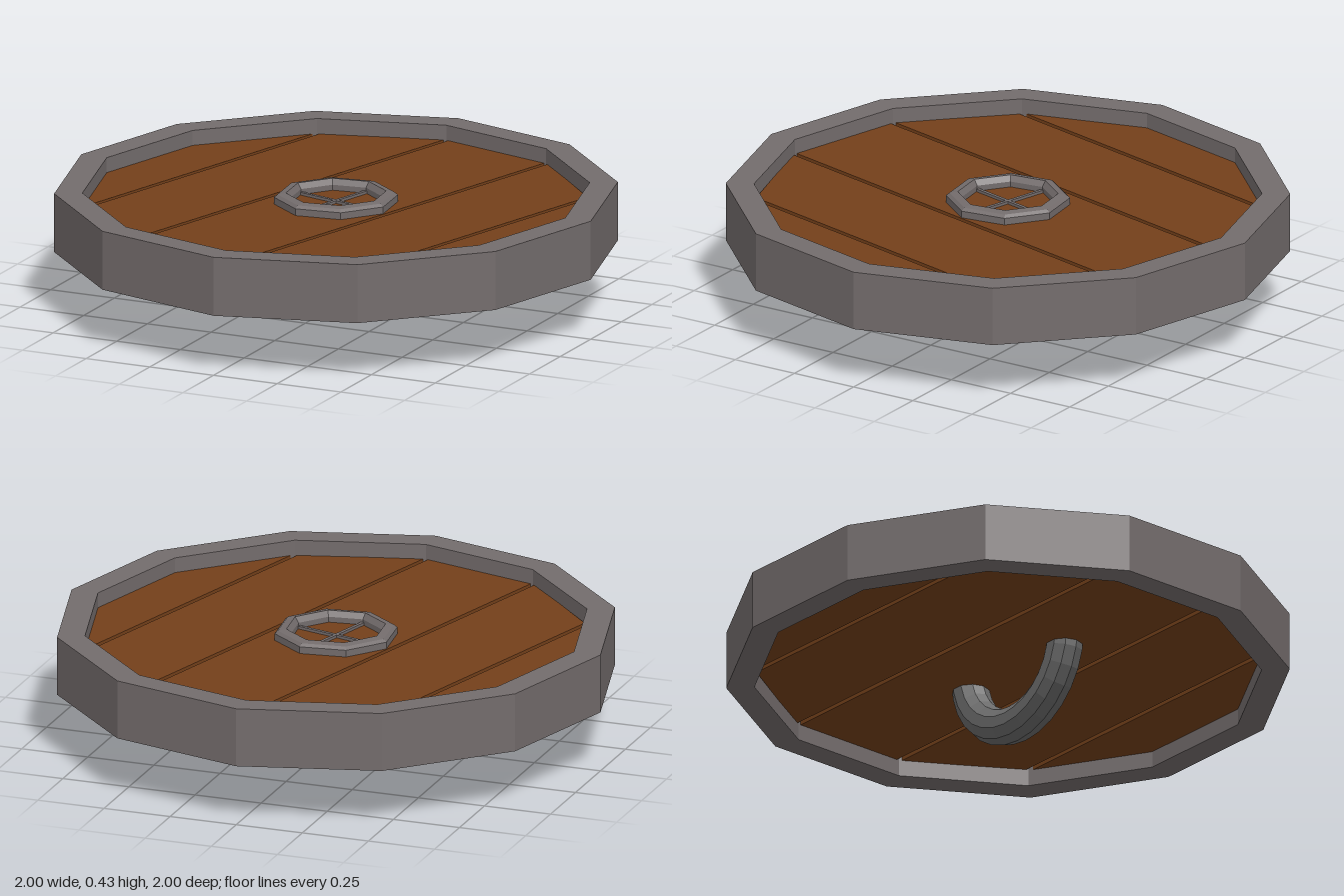
import * as THREE from 'three';

const TILT = -Math.PI / 12; // planks, boss and handle are turned 15 degrees
const BOARD_LOW = 0.28, BOARD_TOP = 0.38;

const paint = (color) => new THREE.MeshStandardMaterial({ color, flatShading: true });

function add(parent, name, geometry, material) {
  const mesh = new THREE.Mesh(geometry, material);
  mesh.name = name;
  parent.add(mesh);
  return mesh;
}

// closed [radius, y] profile turned into a faceted ring
function ring(profile, sides) {
  const points = [...profile, profile[0]].map(([r, y]) => new THREE.Vector2(r, y));
  return new THREE.LatheGeometry(points, sides);
}

// flat slab whose half length goes from z0 at x0 to z1 at x1
function slab(x0, z0, x1, z1, low, high) {
  const shape = new THREE.Shape([[x0, -z0], [x1, -z1], [x1, z1], [x0, z0]]
    .map(([x, y]) => new THREE.Vector2(x, y)));
  return new THREE.ExtrudeGeometry(shape, { depth: high - low, bevelEnabled: false })
    .rotateX(-Math.PI / 2).translate(0, low, 0);
}

export function createModel() {
  const model = new THREE.Group();
  model.name = 'roundShield';
  const iron = paint(0x736c6c);
  const wood = paint(0x74401a);
  const steel = paint(0x6a6a6a);

  // twelve-sided rim
  add(model, 'rim', ring([[1, 0.22], [1, 0.435], [0.9, 0.435], [0.9, 0.22]], 12), iron);

  const face = new THREE.Group();
  face.name = 'face';
  face.rotation.y = TILT;
  model.add(face);

  // five planks meeting the corners of the rim, with narrow grooves between
  const a = 0.233, b = 0.636, c = 0.869, gap = 0.009;
  add(face, 'centrePlank', slab(-a + gap, c, a - gap, c, BOARD_LOW, BOARD_TOP), wood);
  for (const turn of [0, Math.PI]) {
    const side = turn ? 'right' : 'left';
    add(face, side + 'MiddlePlank', slab(a + gap, c, b - gap, b, BOARD_LOW, BOARD_TOP), wood).rotation.y = turn;
    add(face, side + 'OuterPlank', slab(b + gap, b, c, a, BOARD_LOW, BOARD_TOP), wood).rotation.y = turn;
  }

  // backing that closes the grooves
  const core = add(face, 'plankCore', new THREE.CylinderGeometry(0.895, 0.895, 0.06, 12), wood);
  core.position.y = (BOARD_LOW + BOARD_TOP) / 2;
  core.rotation.y = -TILT;

  // eight-sided boss ring with crossed bars
  add(face, 'bossRing', ring([
    [0.22, 0.37], [0.22, 0.405], [0.208, 0.415], [0.178, 0.42], [0.163, 0.4], [0.163, 0.37],
  ], 8), iron);
  for (const turn of [0, Math.PI / 2]) {
    const bar = add(face, 'bossBar', new THREE.BoxGeometry(0.34, 0.02, 0.013), iron);
    bar.position.y = 0.38;
    bar.rotation.y = turn;
  }

  // half-round grip under the board
  const grip = new THREE.TorusGeometry(0.26, 0.067, 10, 14, Math.PI)
    .rotateX(Math.PI).rotateY(Math.PI / 2);
  const handle = add(model, 'handle', grip, steel);
  handle.position.set(0.06, 0.328, 0);
  handle.rotation.y = TILT;

  return model;
}
